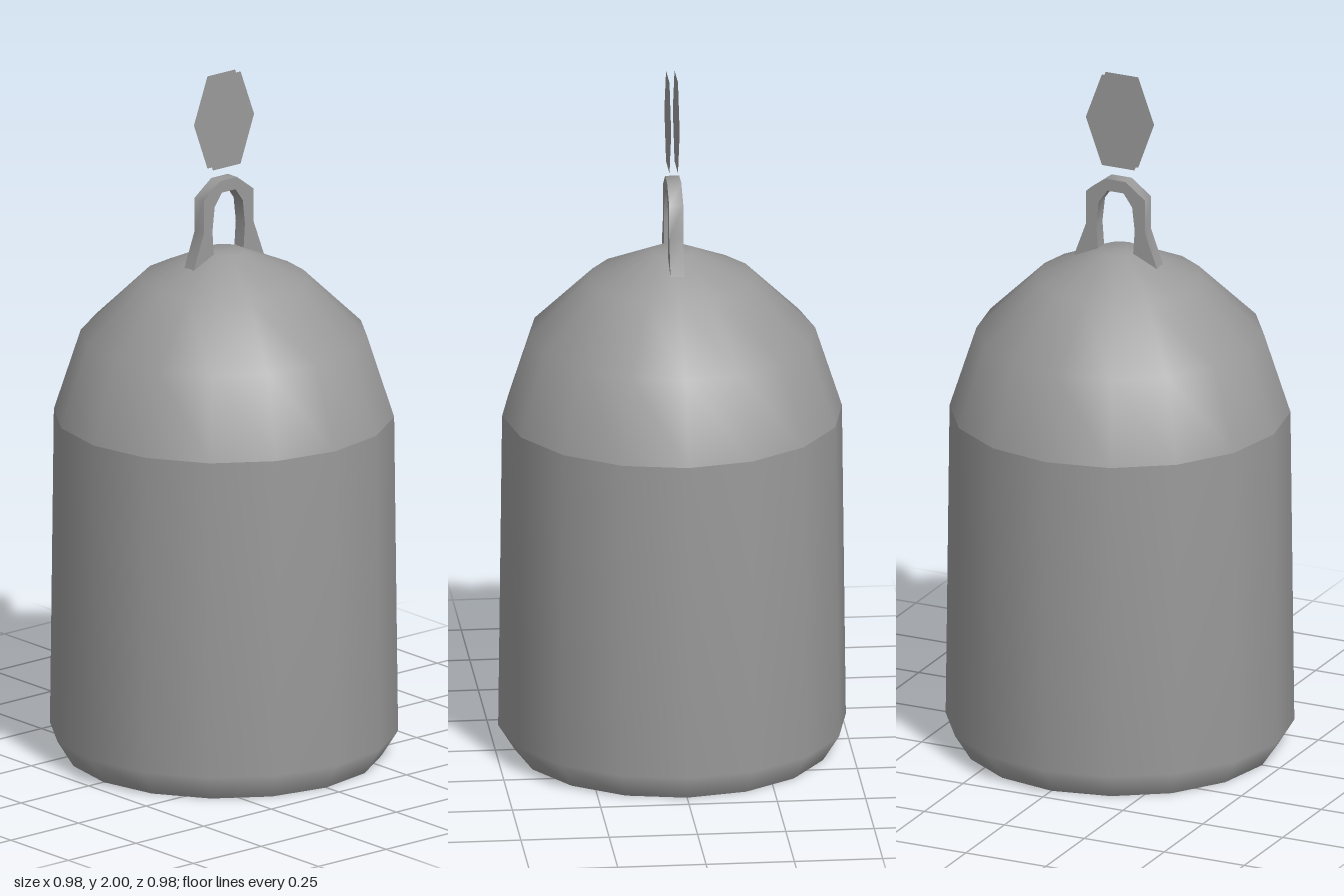
import * as THREE from 'three';
import { toCreasedNormals } from 'three/addons/utils/BufferGeometryUtils.js';

const SIDES = 16;

const vectors = (points) => points.map(([x, y]) => new THREE.Vector2(x, y));

function addMesh(group, name, geometry, material) {
  const mesh = new THREE.Mesh(geometry, material);
  mesh.name = name;
  group.add(mesh);
  return mesh;
}

export function createModel() {
  const model = new THREE.Group();
  model.name = 'bell';
  const metal = new THREE.MeshStandardMaterial({ color: 0x9a9a9a, side: THREE.DoubleSide });

  // Wall with a tucked-in rim
  const wall = vectors([[0.445, 0], [0.492, 0.075], [0.481, 1.0]]);
  addMesh(model, 'bellWall', new THREE.LatheGeometry(wall, SIDES), metal);

  // Faceted dome with a small flat crown
  const dome = vectors([[0.481, 1.0], [0.405, 1.235], [0.235, 1.4], [0.06, 1.48], [0, 1.48]]);
  addMesh(model, 'dome', new THREE.LatheGeometry(dome, SIDES), metal);

  // Shallow hollow closing the underside
  const hollow = vectors([[0, 0.1], [0.15, 0.09], [0.3, 0.055], [0.445, 0]]);
  addMesh(model, 'undersideHollow', new THREE.LatheGeometry(hollow, SIDES), metal);

  // Arched hanging loop: right half outline, mirrored to the left
  const outer = [[0.13, 1.447], [0.092, 1.55], [0.092, 1.647], [0.031, 1.693]];
  const inner = [[0.025, 1.658], [0.052, 1.62], [0.06, 1.55], [0.055, 1.48]];
  const mirror = (points) => points.map(([x, y]) => [-x, y]).reverse();
  const arch = new THREE.Shape(vectors([...outer, ...mirror(outer), ...mirror(inner), ...inner]));
  const depth = 0.04;
  const loop = new THREE.ExtrudeGeometry(arch, { depth, bevelEnabled: false });
  loop.translate(0.003, 0, -depth / 2 - 0.003);
  addMesh(model, 'hangingLoop', toCreasedNormals(loop, 1), metal);

  // Hexagonal plate floating above the loop: a front and a back face
  const hexagon = new THREE.Shape(vectors([
    [0.101, 1.865], [0.051, 2.0], [-0.051, 2.0], [-0.101, 1.865], [-0.051, 1.728], [0.051, 1.728],
  ]));
  for (const [name, z] of [['plateFront', 0.012], ['plateBack', -0.012]]) {
    addMesh(model, name, new THREE.ShapeGeometry(hexagon), metal).position.z = z;
  }

  return model;
}
